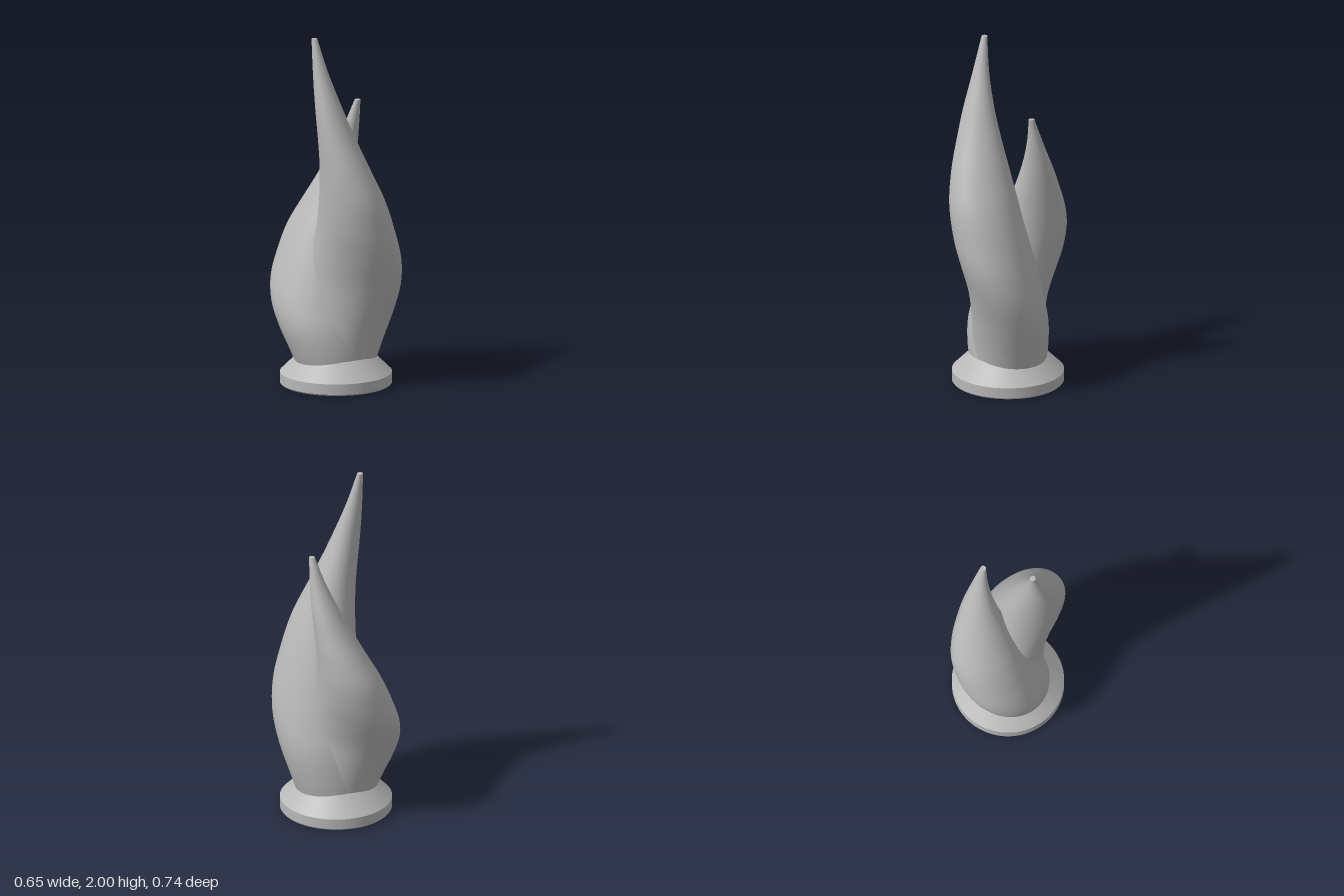
import * as THREE from 'three';
import { toCreasedNormals } from 'three/addons/utils/BufferGeometryUtils.js';

// Flame cross-sections: y, centre x, centre z, half length, half width, turn in degrees
const SECTIONS = [
  [0.075, 0.005, -0.005, 0.205, 0.195, -4],
  [0.24, 0.035, 0.003, 0.228, 0.207, 7],
  [0.41, 0.066, 0.026, 0.248, 0.211, 20],
  [0.58, 0.08, 0.064, 0.261, 0.203, 34],
  [0.75, 0.071, 0.106, 0.257, 0.199, 48],
  [0.92, 0.049, 0.144, 0.228, 0.191, 64],
  [1.09, 0.017, 0.164, 0.203, 0.17, 81],
  [1.26, -0.024, 0.162, 0.167, 0.138, 98],
  [1.43, -0.066, 0.147, 0.126, 0.106, 115],
  [1.6, -0.105, 0.127, 0.088, 0.076, 130],
  [1.8, -0.14, 0.094, 0.047, 0.043, 147],
  [2.0, -0.163, 0.059, 0.016, 0.016, 162],
];
const BOTTOM = SECTIONS[0][0];

// Twisting tapered flame, lofted through the elliptical sections
function flameGeometry(heightScale) {
  const rows = 110, sides = 72;
  const curve = (pick) => new THREE.CatmullRomCurve3(
    SECTIONS.map((s) => new THREE.Vector3(...pick(s))), false, 'catmullrom', 0.5);
  const centres = curve((s) => [s[1], s[0], s[2]]);
  const shapes = curve((s) => [s[3], s[4], THREE.MathUtils.degToRad(s[5])]);
  const positions = [], index = [];
  for (let i = 0; i <= rows; i++) {
    const c = centres.getPoint(i / rows);
    const { x: a, y: b, z: turn } = shapes.getPoint(i / rows);
    const y = BOTTOM + (c.y - BOTTOM) * heightScale;
    for (let j = 0; j < sides; j++) {
      // Sample angle is offset by the turn so the mesh columns stay upright
      const t = (j / sides) * Math.PI * 2 - turn;
      const u = a * Math.cos(t), v = b * Math.sin(t);
      positions.push(
        c.x + u * Math.cos(turn) - v * Math.sin(turn), y,
        c.z + u * Math.sin(turn) + v * Math.cos(turn));
      if (i < rows) {
        const p = i * sides + j, q = i * sides + (j + 1) % sides;
        index.push(p, p + sides, q, q, p + sides, q + sides);
      }
    }
  }
  const geometry = new THREE.BufferGeometry();
  geometry.setAttribute('position', new THREE.Float32BufferAttribute(positions, 3));
  geometry.setIndex(index);
  geometry.computeVertexNormals();
  return geometry;
}

function createFlame(name, heightScale, material) {
  const flame = new THREE.Group();
  flame.name = name;
  const body = new THREE.Mesh(flameGeometry(heightScale), material);
  body.name = 'flameBody';

  // Flat round cap on the tip
  const [y, x, z, radius] = SECTIONS[SECTIONS.length - 1];
  const tip = new THREE.Mesh(new THREE.CircleGeometry(radius, 36), material);
  tip.name = 'flameTip';
  tip.rotation.x = -Math.PI / 2;
  tip.position.set(x, BOTTOM + (y - BOTTOM) * heightScale, z);
  flame.add(body, tip);
  return flame;
}

export function createModel() {
  const model = new THREE.Group();
  model.name = 'twinFlameFinial';
  const grey = new THREE.MeshStandardMaterial({ color: 0xb8b8b8, side: THREE.DoubleSide });
  grey.name = 'plain grey';

  // Hollow collar with a bevelled shoulder
  const profile = [
    [0.16, 0], [0.305, 0], [0.312, 0.008], [0.312, 0.067],
    [0.21, 0.168], [0.16, 0.168], [0.16, 0],
  ].map(([r, y]) => new THREE.Vector2(r, y));
  const collar = new THREE.Mesh(
    toCreasedNormals(new THREE.LatheGeometry(profile, 80), 0.5), grey);
  collar.name = 'baseCollar';

  // Two flames facing opposite ways, the rear one shorter
  const tall = createFlame('tallFlame', 1, grey);
  const short = createFlame('shortFlame', 0.787, grey);
  short.rotation.y = Math.PI;

  model.add(collar, tall, short);
  return model;
}
